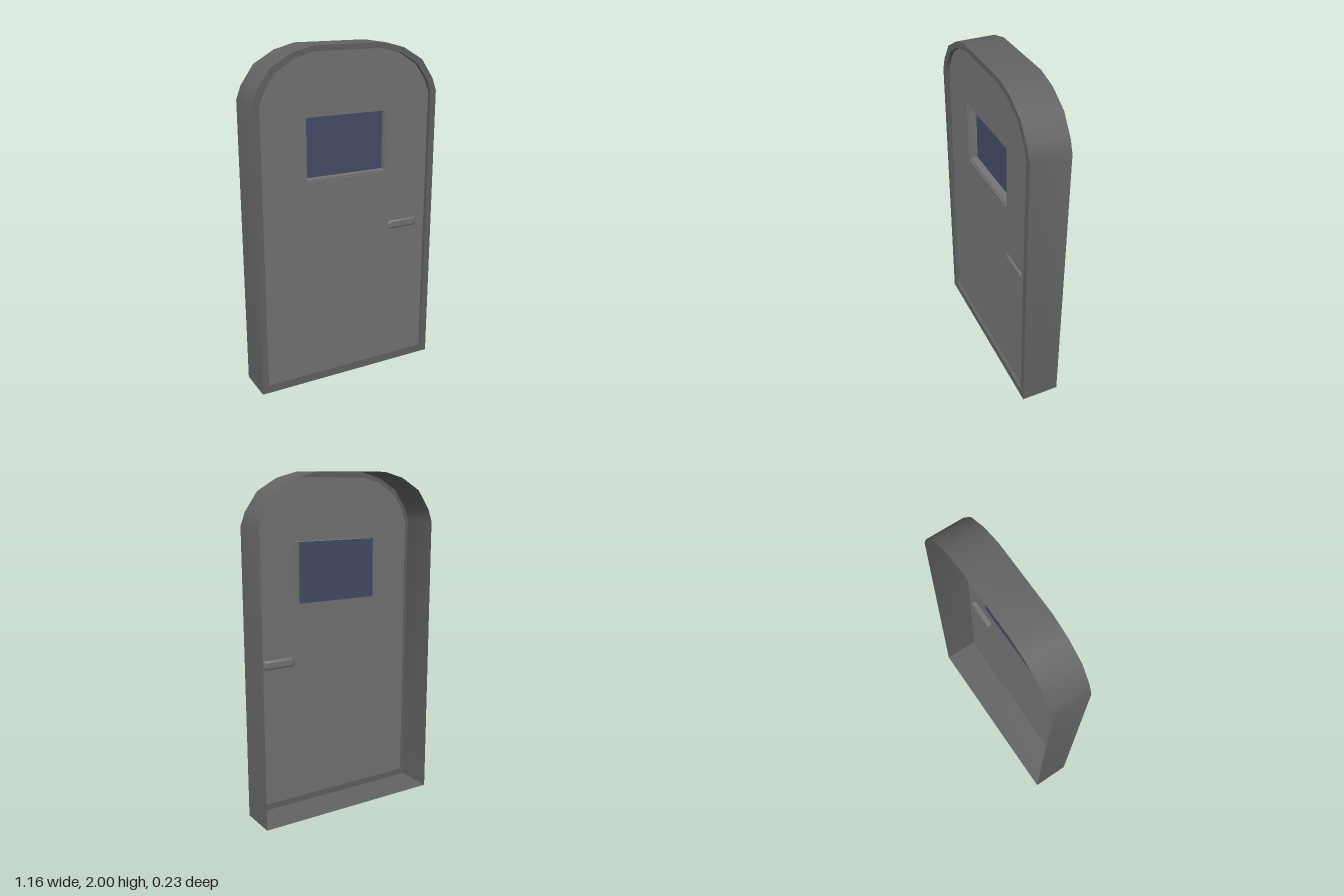
import * as THREE from 'three';
import { toCreasedNormals } from 'three/addons/utils/BufferGeometryUtils.js';

const FRONT = 0.115, PANEL = 0.093, GLASS = 0.042, HANDLE = 0.084;
const material = color => new THREE.MeshStandardMaterial({ color, side: THREE.DoubleSide });
const frameGrey = material(0x636363);
const panelGrey = material(0x757575);
const blue = material(0x454e68);

// Mirrors the right half of an arched outline into a full counter-clockwise loop
const mirrored = half => [...half, ...half.map(([x, y]) => [-x, y]).reverse()];

const rect = (cx, cy, w, h) => [
  [cx + w, cy - h], [cx + w, cy + h], [cx - w, cy + h], [cx - w, cy - h],
];

// Rectangle with cut corners
const cutRect = (cx, cy, w, h, c) => [
  [cx + w, cy - h + c], [cx + w, cy + h - c], [cx + w - c, cy + h], [cx - w + c, cy + h],
  [cx - w, cy + h - c], [cx - w, cy - h + c], [cx - w + c, cy - h], [cx + w - c, cy - h],
];

const shapeOf = pts => new THREE.Shape(pts.map(([x, y]) => new THREE.Vector2(x, y)));

// Skin between successive closed loops, each given as [outline, z]
function loft(loops) {
  const pos = [], idx = [], n = loops[0][0].length;
  loops.forEach(([pts, z]) => pts.forEach(([x, y]) => pos.push(x, y, z)));
  for (let l = 0; l < loops.length - 1; l++) {
    for (let i = 0; i < n; i++) {
      const a = l * n + i, b = l * n + (i + 1) % n;
      idx.push(a, b, b + n, a, b + n, a + n);
    }
  }
  const g = new THREE.BufferGeometry();
  g.setAttribute('position', new THREE.Float32BufferAttribute(pos, 3));
  g.setIndex(idx);
  return toCreasedNormals(g, 0.6);
}

export function createModel() {
  const model = new THREE.Group();
  model.name = 'archedDoor';
  const add = (name, geometry, mat, z = 0, parent = model) => {
    const mesh = new THREE.Mesh(geometry, mat);
    mesh.name = name;
    mesh.position.z = z;
    parent.add(mesh);
  };

  const outer = mirrored([
    [0.578, 0], [0.578, 1.71], [0.55, 1.785], [0.473, 1.895], [0.35, 1.967], [0.225, 2],
  ]);
  const inner = mirrored([
    [0.538, 0.05], [0.538, 1.702], [0.512, 1.775], [0.445, 1.868], [0.331, 1.939], [0.213, 1.97],
  ]);

  // Thin frame, open at the back, with a front rim stepping in to the panel
  add('frame', loft([[outer, -FRONT], [outer, FRONT], [inner, FRONT], [inner, PANEL]]), frameGrey);

  // Door panel with the window opening
  const opening = rect(0, 1.438, 0.268, 0.185);
  const pane = rect(0, 1.438, 0.256, 0.176);
  const panel = shapeOf(inner);
  panel.holes.push(shapeOf(opening));
  add('doorPanel', new THREE.ShapeGeometry(panel), panelGrey, PANEL);

  // Recessed window
  add('windowSurround', loft([
    [opening, PANEL], [opening, PANEL - 0.008], [pane, PANEL - 0.008], [pane, GLASS],
  ]), panelGrey);
  add('windowGlass', new THREE.ShapeGeometry(shapeOf(pane)), blue, GLASS);

  // Bar handle passing through the panel
  const handle = new THREE.Group();
  handle.name = 'handle';
  handle.position.z = HANDLE;
  model.add(handle);
  const base = cutRect(0.378, 0.915, 0.097, 0.025, 0.008);
  const top = cutRect(0.378, 0.915, 0.089, 0.017, 0.004);
  add('handleSides', loft([[top, -0.02], [base, -0.013], [base, 0.013], [top, 0.02]]), panelGrey, 0, handle);
  add('handleFront', new THREE.ShapeGeometry(shapeOf(top)), panelGrey, 0.02, handle);
  add('handleBack', new THREE.ShapeGeometry(shapeOf(top)), panelGrey, -0.02, handle);
  return model;
}
